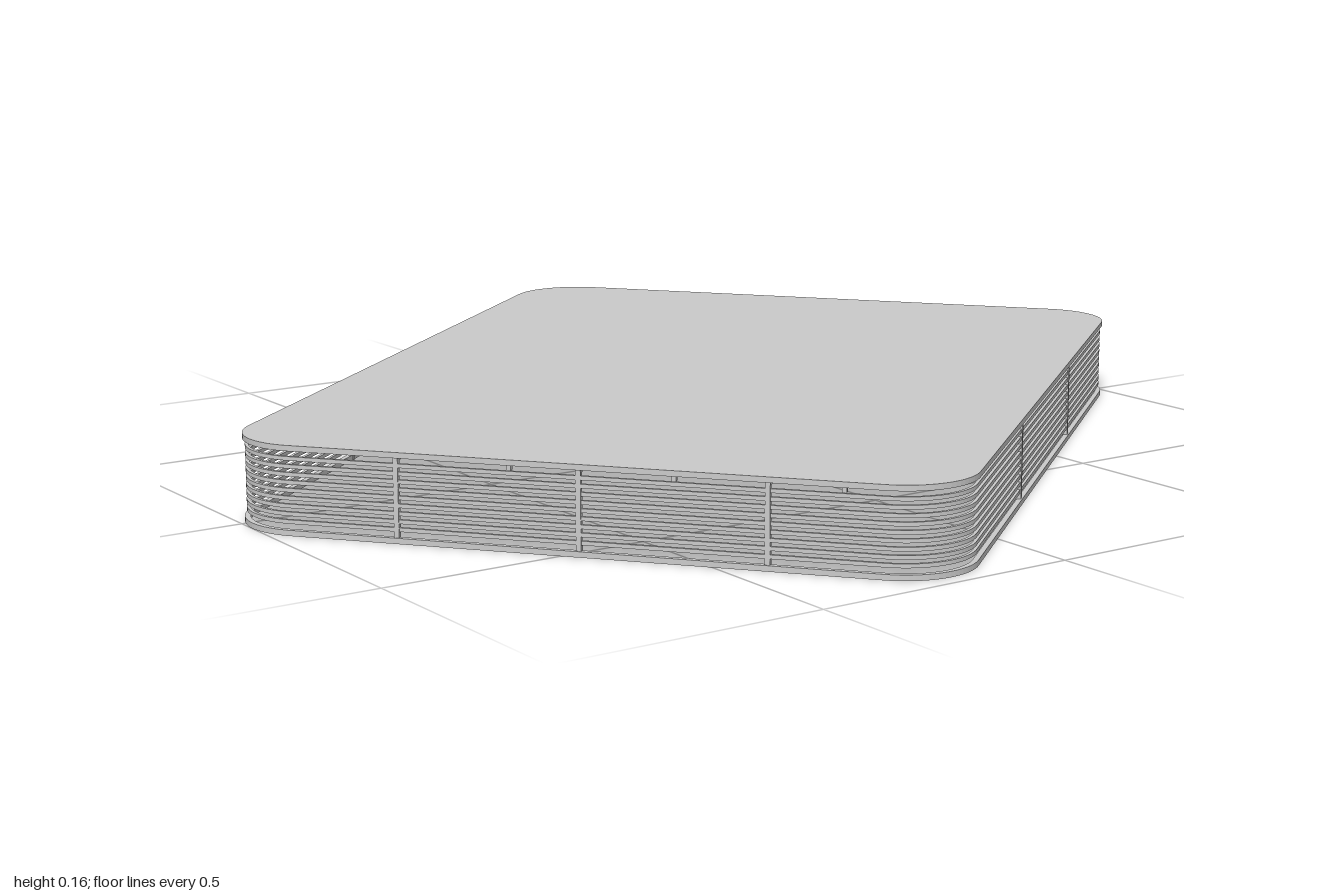
import * as THREE from 'three';

const HALF_L = 0.831, HALF_W = 0.646, RADIUS = 0.13, HEIGHT = 0.158;
const BAY_L = 0.543, BAY_W = 0.322, BAR = 0.009;
const grey = new THREE.MeshStandardMaterial({ color: 0xcccccc });

// Rounded rectangle, pulled in from the outer edge by an inset
function outline(inset, Type = THREE.Shape) {
  const a = HALF_L - RADIUS, b = HALF_W - RADIUS, r = RADIUS - inset;
  const s = new Type();
  s.absarc(a, b, r, 0, Math.PI / 2);
  s.absarc(-a, b, r, Math.PI / 2, Math.PI);
  s.absarc(-a, -b, r, Math.PI, Math.PI * 1.5);
  s.absarc(a, -b, r, Math.PI * 1.5, Math.PI * 2);
  s.closePath();
  return s;
}

// Flat slab, or a closed ring when a width is given
function slab(name, y, height, inset, width) {
  const shape = outline(inset);
  if (width) shape.holes.push(outline(inset + width, THREE.Path));
  const geo = new THREE.ExtrudeGeometry(shape, { depth: height, bevelEnabled: false, curveSegments: 10 });
  geo.rotateX(-Math.PI / 2);
  geo.translate(0, y, 0);
  const mesh = new THREE.Mesh(geo, grey);
  mesh.name = name;
  return mesh;
}

function box(name, w, h, d, x, y, z) {
  const mesh = new THREE.Mesh(new THREE.BoxGeometry(w, h, d), grey);
  mesh.name = name;
  mesh.position.set(x, y, z);
  return mesh;
}

export function createModel() {
  const model = new THREE.Group();
  model.name = 'louvredCanopy';
  const body = new THREE.Group();
  body.name = 'canopyBody';
  body.rotation.y = -0.889;
  model.add(body);

  // Roof deck and the rims at top and bottom
  body.add(slab('roof', HEIGHT - 0.006, 0.006, 0.002));
  body.add(slab('topRim', HEIGHT - 0.01, 0.01, 0, 0.01));
  body.add(slab('bottomRim', 0, 0.01, 0, 0.01));

  // Horizontal slats around the wall
  const slats = new THREE.Group();
  slats.name = 'wallSlats';
  const count = 9, pitch = (HEIGHT - 0.02) / (count + 1);
  for (let i = 1; i <= count; i++) {
    slats.add(slab('slat', 0.01 + i * pitch - 0.0035, 0.007, 0.004, 0.006));
  }
  body.add(slats);

  // Roof beams and posts on a grid of three by four bays
  const frame = new THREE.Group();
  frame.name = 'frame';
  const xs = [-0.5, 0.5].map(i => i * BAY_L);
  const zs = [-1, 0, 1].map(i => i * BAY_W);
  const beamH = 0.014, beamY = HEIGHT - 0.001 - beamH / 2;
  const postH = HEIGHT - 0.006, edge = 0.007;
  for (const x of xs) {
    frame.add(box('crossBeam', BAR, beamH, 2 * (HALF_W - edge), x, beamY, 0));
    for (const z of [-HALF_W + edge, ...zs, HALF_W - edge]) {
      frame.add(box('post', BAR, postH, BAR, x, postH / 2, z));
    }
  }
  for (const z of zs) {
    frame.add(box('longBeam', 2 * (HALF_L - edge), beamH, BAR, 0, beamY, z));
    for (const x of [-HALF_L + edge, HALF_L - edge]) {
      frame.add(box('endPost', BAR, postH, BAR, x, postH / 2, z));
    }
  }
  body.add(frame);
  return model;
}
